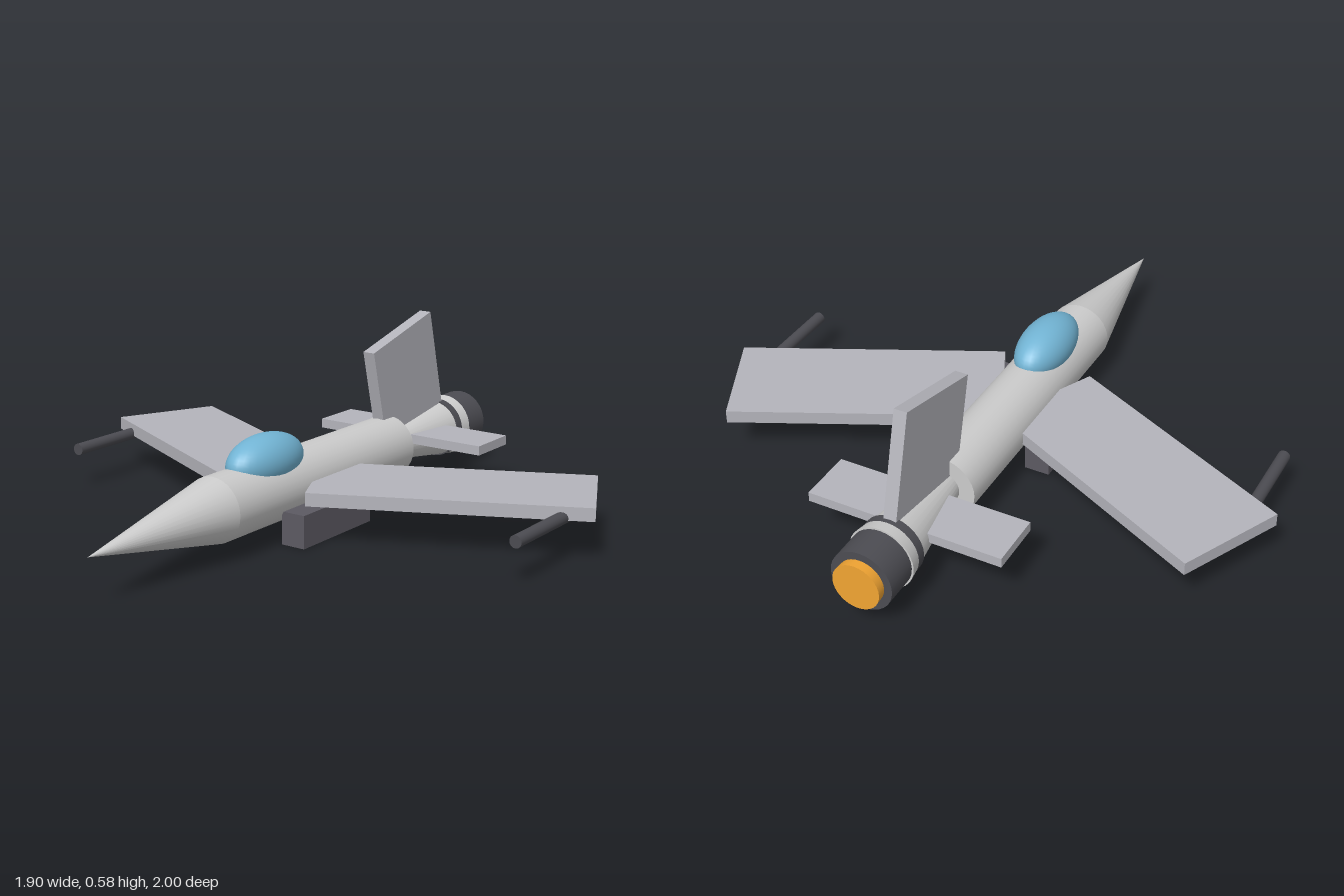
import * as THREE from 'three';

const paint = (color) => new THREE.MeshStandardMaterial({ color });

export function createModel() {
  const group = new THREE.Group();
  const grey = paint(0xcccccc);
  const wingGrey = paint(0xb4b4bb);
  const dark = paint(0x4c4c52);
  const intakeGrey = paint(0x5c5a62);
  const glass = paint(0x72b4d4);
  const flame = paint(0xf2a533);
  const axisY = 0.15;

  function add(name, geometry, material, x, y, z) {
    const mesh = new THREE.Mesh(geometry, material);
    mesh.name = name;
    mesh.position.set(x, y, z);
    group.add(mesh);
    return mesh;
  }

  // Round part along z, from zBack to zFront
  function round(name, material, rFront, rBack, zFront, zBack, x = 0, y = axisY) {
    const geometry = new THREE.CylinderGeometry(rFront, rBack, zFront - zBack, 32);
    geometry.rotateX(Math.PI / 2);
    return add(name, geometry, material, x, y, (zFront + zBack) / 2);
  }

  // Body, from nose to exhaust
  round('noseCone', grey, 0, 0.105, 1, 0.455);
  round('fuselage', grey, 0.105, 0.105, 0.455, -0.495);
  round('tailCone', grey, 0, 0.107, -0.14, -0.86);
  round('nozzle', dark, 0.101, 0.101, -0.79, -0.97);
  round('exhaustGlow', flame, 0.072, 0.077, -0.9, -1);

  // Canopy
  const canopy = add('canopy', new THREE.SphereGeometry(1, 32, 24), glass, 0, 0.25, 0.198);
  canopy.scale.set(0.085, 0.085, 0.167);

  // Tail surfaces
  add('tailplane', new THREE.BoxGeometry(0.65, 0.032, 0.182), wingGrey, 0, 0.166, -0.648);
  const fin = add('tailFin', new THREE.BoxGeometry(0.043, 0.36, 0.36), wingGrey, 0, 0.364, -0.59);
  fin.rotation.x = 0.25;

  // Swept wings, wing guns and intakes on both sides
  for (const [side, s] of [['left', 1], ['right', -1]]) {
    const wing = add(side + 'Wing', new THREE.BoxGeometry(0.88, 0.043, 0.363), wingGrey, s * 0.474, axisY, -0.152);
    wing.rotation.y = s * 0.45;
    round(side + 'Gun', dark, 0.02, 0.02, 0.14, -0.18, s * 0.857, 0.134);
    add(side + 'Intake', new THREE.BoxGeometry(0.085, 0.107, 0.36), intakeGrey, s * 0.131, 0.0535, 0.05);
  }
  return group;
}
